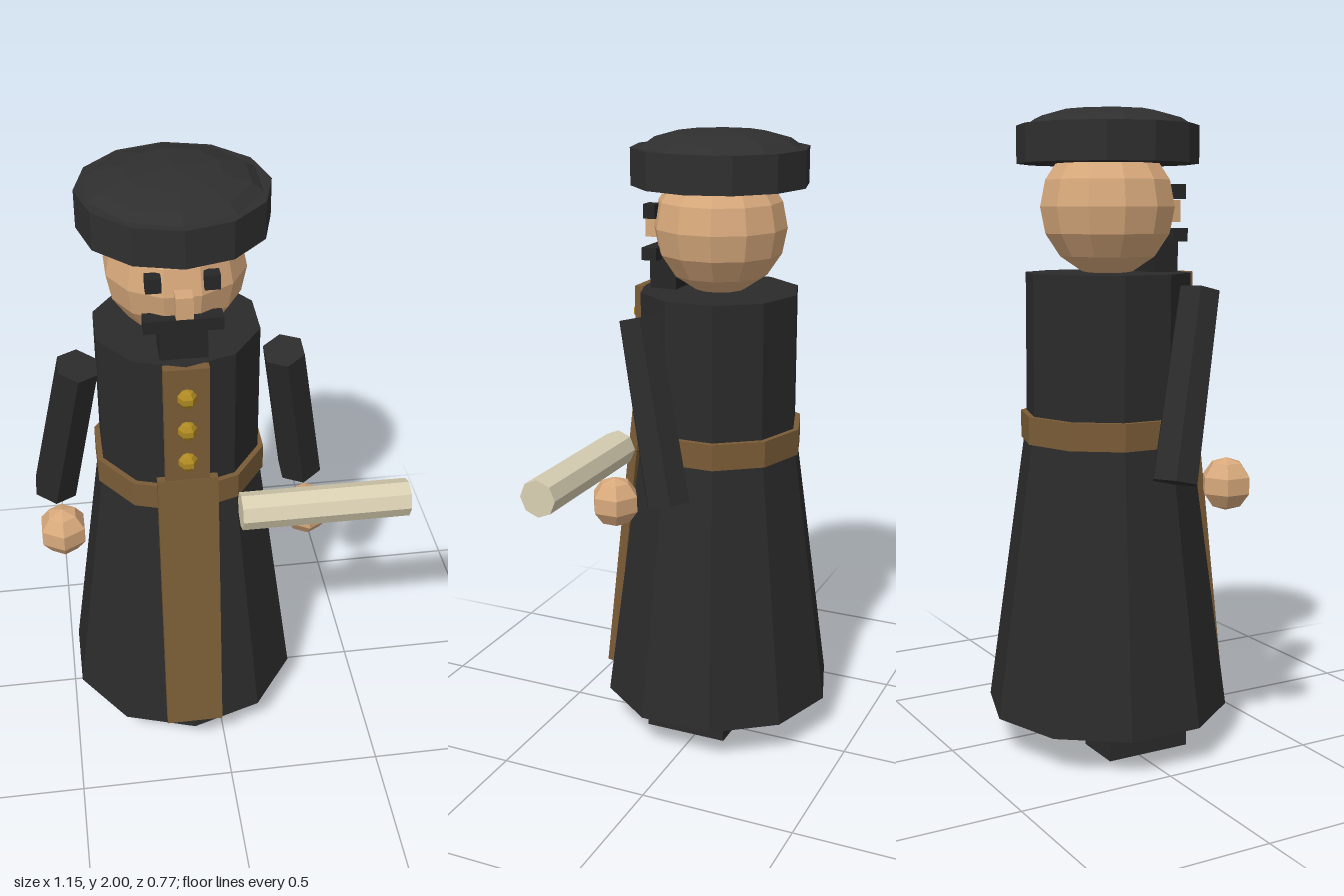
import * as THREE from 'three';

const mat = (name, color) => {
  const m = new THREE.MeshStandardMaterial({ color, flatShading: true });
  m.name = name;
  return m;
};

export function createModel() {
  const cloth = mat('black cloth', 0x2b2b2b);
  const hatCloth = mat('hat felt', 0x2f2f2f);
  const hair = mat('dark hair', 0x262626);
  const skin = mat('skin', 0xd8a97c);
  const brown = mat('brown trim', 0x7a5c36);
  const gold = mat('gold', 0xb08a22);
  const paper = mat('parchment', 0xd8cfb2);

  const model = new THREE.Group();
  model.name = 'robedFigure';
  // The body stands beside the centre because the scroll reaches out to its left
  const body = new THREE.Group();
  body.name = 'body';
  body.position.x = -0.108;
  model.add(body);

  const add = (name, geo, material, x, y, z, parent = body) => {
    const m = new THREE.Mesh(geo, material);
    m.name = name;
    m.position.set(x, y, z);
    parent.add(m);
    return m;
  };
  const box = (name, w, h, d, material, x, y, z) =>
    add(name, new THREE.BoxGeometry(w, h, d), material, x, y, z);
  const tube = (name, rTop, rBottom, y0, y1, sides, material) =>
    add(name, new THREE.CylinderGeometry(rTop, rBottom, y1 - y0, sides), material, 0, (y0 + y1) / 2, 0);

  // Gown
  tube('skirt', 0.255, 0.385, 0.12, 1.06, 10, cloth);
  tube('torso', 0.257, 0.257, 1.0, 1.5, 10, cloth);
  tube('belt', 0.275, 0.275, 0.98, 1.065, 10, brown);

  // Front trim: upright placket and a panel leaning along the skirt
  box('placket', 0.135, 0.44, 0.03, brown, 0, 1.28, 0.255);
  const lean = Math.atan2(0.115, 0.95);
  const panel = box('skirtPanel', 0.185, 0.957, 0.03, brown, 0, 0.625, 0.315);
  panel.rotation.x = -lean;
  for (const y of [1.175, 1.29, 1.405]) {
    add('button', new THREE.SphereGeometry(0.03, 6, 5), gold, 0, y, 0.277);
  }

  // Head and face
  const head = add('head', new THREE.SphereGeometry(0.212, 12, 8), skin, 0, 1.7, 0);
  head.rotation.y = Math.PI / 12;
  box('nose', 0.05, 0.068, 0.06, skin, 0, 1.688, 0.22);
  box('moustache', 0.23, 0.04, 0.05, hair, 0, 1.615, 0.195);
  box('beard', 0.14, 0.13, 0.09, hair, 0, 1.54, 0.168);

  // Round cap with a shallow domed crown
  tube('hatBand', 0.28, 0.28, 1.83, 1.945, 12, hatCloth);
  const crown = [[0.265, 1.94], [0.225, 1.967], [0.142, 1.99], [0, 2]]
    .map(([r, y]) => new THREE.Vector2(r, y));
  add('hatCrown', new THREE.LatheGeometry(crown, 10), hatCloth, 0, 0, 0);

  // Paired parts
  for (const s of [-1, 1]) {
    const side = s > 0 ? 'left' : 'right';
    box(side + 'Eye', 0.045, 0.045, 0.04, hair, s * 0.083, 1.747, 0.198);
    box(side + 'Foot', 0.16, 0.13, 0.28, cloth, s * 0.128, 0.065, 0.035);

    const shoulder = new THREE.Vector3(s * 0.305, 1.455, 0.14);
    const cuff = new THREE.Vector3(s * 0.4, 0.905, 0);
    const dir = shoulder.clone().sub(cuff);
    const mid = shoulder.clone().add(cuff).multiplyScalar(0.5);
    const arm = add(side + 'Sleeve', new THREE.CylinderGeometry(0.066, 0.073, dir.length(), 6),
      cloth, mid.x, mid.y, mid.z);
    arm.quaternion.setFromUnitVectors(new THREE.Vector3(0, 1, 0), dir.normalize());

    const hand = add(side + 'Hand', new THREE.SphereGeometry(0.08, 6, 5), skin, s * 0.386, 0.882, 0.19);
    hand.rotation.y = Math.PI / 2;
  }

  // Rolled scroll held out in front of the left hand
  const scroll = add('scroll', new THREE.CylinderGeometry(0.059, 0.059, 0.525, 8), paper,
    0.314, 0.977, 0.292, model);
  scroll.rotation.z = Math.PI / 2;

  return model;
}
